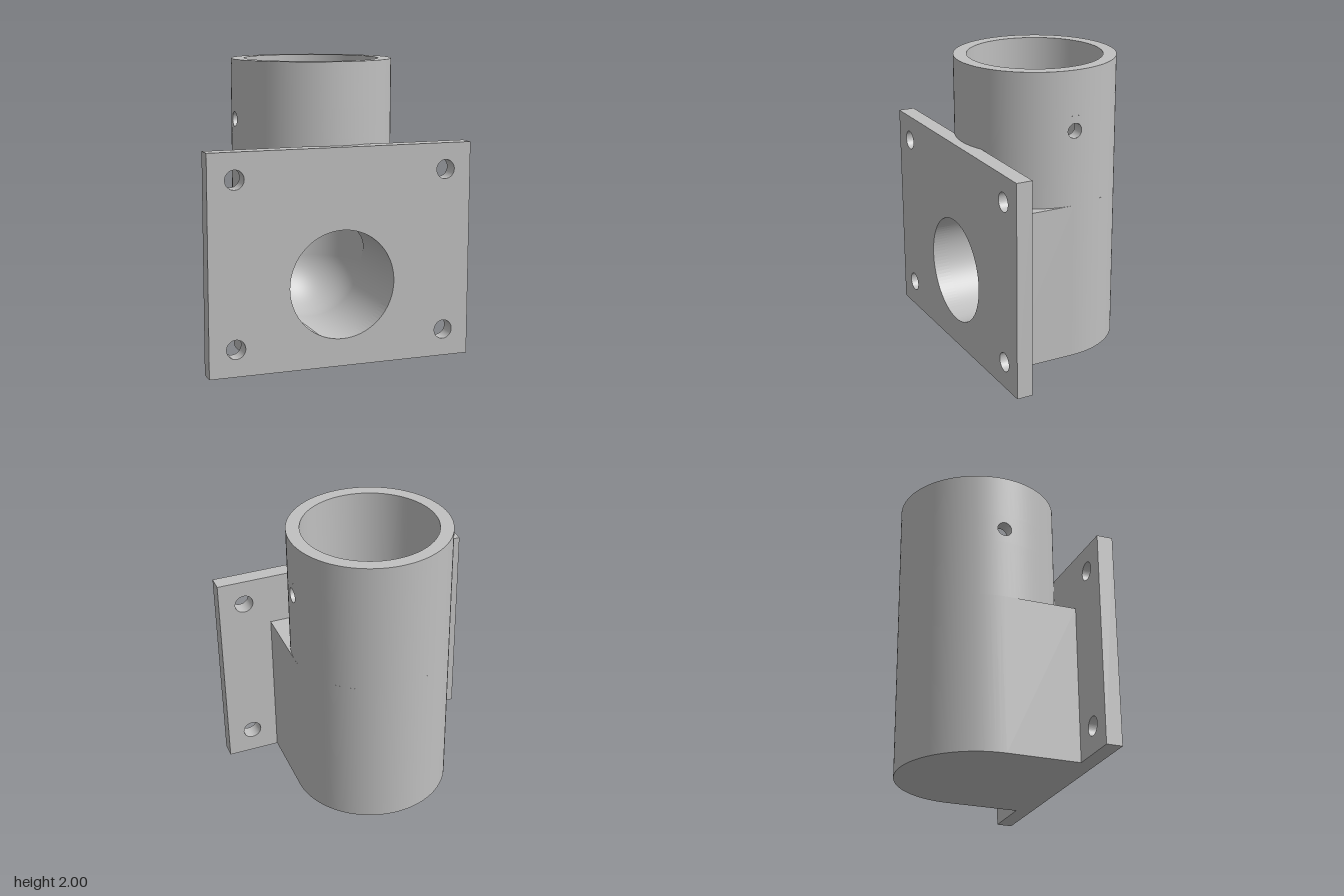
import * as THREE from 'three';
import { ParametricGeometry } from 'three/addons/geometries/ParametricGeometry.js';

const PI = Math.PI;
const OUTER = 0.545, SOCKET = 0.455, BORE = 0.364;   // radii
const TOP = 2, SHELF = 1.09, BORE_Y = 0.55;          // heights
const AXIS_Z = -0.035, DEPTH = 0.505;                // pipe axis, and its distance to the plate
const PIN_Y = 1.6, PIN_R = 0.05, PATCH_A = PI / 16, PATCH_H = 0.1;

// Surface from f(u, v) -> [x, y, z]; it faces along du x dv
const sheet = (f, nu, nv) => new ParametricGeometry((u, v, p) => p.set(...f(u, v)), nu, nv);

// Upright cylinder wall; swap t0 and t1 to face inward
const wall = (r, y0, y1, t0, t1) => sheet((u, v) => {
  const t = t0 + (t1 - t0) * u;
  return [r * Math.sin(t), y0 + (y1 - y0) * v, r * Math.cos(t)];
}, Math.max(8, Math.round(Math.abs(t1 - t0) / (2 * PI) * 96)), 1);

// Piece of cylinder wall around the pin hole on the +x side
const pinPatch = (r, inward) => sheet((u, v) => {
  const a = 2 * PI * (inward ? u : 1 - u);
  const c = Math.cos(a), s = Math.sin(a), k = 1 / Math.max(Math.abs(c), Math.abs(s));
  const t = PI / 2 + (1 - v) * Math.asin(PIN_R * c / r) + v * PATCH_A * k * c;
  return [r * Math.sin(t), PIN_Y + (1 - v) * PIN_R * s + v * PATCH_H * k * s, r * Math.cos(t)];
}, 48, 4);

// Inside of the pin hole on the +x side
const pinBore = () => sheet((u, v) => {
  const z = PIN_R * Math.cos(2 * PI * u), r = SOCKET + (OUTER - SOCKET) * v;
  return [Math.sqrt(r * r - z * z), PIN_Y + PIN_R * Math.sin(2 * PI * u), z];
}, 32, 1);

// Outline of the lower body: round at the back, square toward the plate
function bodyShape() {
  const s = new THREE.Shape();
  s.moveTo(-OUTER, -DEPTH);
  s.lineTo(OUTER, -DEPTH);
  s.lineTo(OUTER, 0);
  s.absarc(0, 0, OUTER, 0, PI, false);
  s.closePath();
  return s;
}

function addHole(shape, x, y, r) {
  const p = new THREE.Path();
  p.absarc(x, y, r, 0, 2 * PI, true);
  shape.holes.push(p);
}

export function createModel() {
  const model = new THREE.Group();
  model.name = 'pipeElbowBracket';
  const grey = new THREE.MeshStandardMaterial({ color: 0xc0c0c0 });
  grey.name = 'grey';

  const group = (name) => {
    const g = new THREE.Group();
    g.name = name;
    g.position.z = AXIS_Z;
    model.add(g);
    return g;
  };
  const add = (parent, name, geometry, x = 0, y = 0, z = 0) => {
    const m = new THREE.Mesh(geometry, grey);
    m.name = name;
    m.position.set(x, y, z);
    parent.add(m);
    return m;
  };

  // Mounting plate with four bolt holes and the outlet
  const plate = new THREE.Shape();
  plate.moveTo(-0.91, 0);
  plate.lineTo(0.91, 0);
  plate.lineTo(0.91, 1.457);
  plate.lineTo(-0.91, 1.457);
  plate.closePath();
  for (const x of [-0.73, 0.73]) for (const y of [0.182, 1.28]) addHole(plate, x, y, 0.064);
  addHole(plate, 0, BORE_Y, BORE);
  add(model, 'mountingPlate', new THREE.ExtrudeGeometry(plate,
    { depth: 0.11, bevelEnabled: false, curveSegments: 48 }), 0, 0, AXIS_Z + DEPTH);

  // Lower body
  const body = group('lowerBody');
  add(body, 'roundBack', wall(OUTER, 0, SHELF, PI / 2, 3 * PI / 2));
  for (const s of [-1, 1]) {
    add(body, 'bodySide', new THREE.PlaneGeometry(DEPTH, SHELF).rotateY(s * PI / 2),
      s * OUTER, SHELF / 2, DEPTH / 2);
  }
  add(body, 'bodyBase', new THREE.ShapeGeometry(bodyShape(), 48).rotateX(-PI / 2).rotateZ(PI));
  const shelf = bodyShape();
  addHole(shelf, 0, 0, BORE);
  add(body, 'shelf', new THREE.ShapeGeometry(shelf, 48).rotateX(-PI / 2), 0, SHELF, 0);

  // Upper socket, outside and inside, in bands around the pin holes
  const socket = group('socket');
  const y0 = PIN_Y - PATCH_H, y1 = PIN_Y + PATCH_H;
  for (const [r, inward] of [[OUTER, false], [SOCKET, true]]) {
    const band = (a, b, t0, t1) => add(socket, inward ? 'socketInside' : 'socketOutside',
      inward ? wall(r, a, b, t1, t0) : wall(r, a, b, t0, t1));
    band(SHELF, y0, 0, 2 * PI);
    band(y1, TOP, 0, 2 * PI);
    for (const mid of [0, PI]) band(y0, y1, mid - PI / 2 + PATCH_A, mid + PI / 2 - PATCH_A);
    for (const turn of [0, PI]) add(socket, 'pinHoleSurround', pinPatch(r, inward).rotateY(turn));
  }
  for (const turn of [0, PI]) add(socket, 'pinHole', pinBore().rotateY(turn));
  add(socket, 'socketRim', new THREE.RingGeometry(SOCKET, OUTER, 96).rotateX(-PI / 2), 0, TOP, 0);

  // Elbow passage: two mitred bores meeting at a round corner
  const elbow = group('elbowPassage');
  const bore = (length, t0, t1, place) => sheet((u, v) => {
    const t = t0 + (t1 - t0) * u, side = BORE * Math.cos(t), start = Math.max(0, side);
    return place(BORE * Math.sin(t), side, start + (length - start) * v);
  }, 96, 1);
  add(elbow, 'uprightBore', bore(SHELF - BORE_Y, 2 * PI, 0, (x, s, h) => [x, h, s]), 0, BORE_Y, 0);
  add(elbow, 'outletBore', bore(DEPTH, 0, 2 * PI, (x, s, h) => [x, s, h]), 0, BORE_Y, 0);
  add(elbow, 'roundCorner', sheet((u, v) => {
    const a = PI - 0.001 - (PI - 0.002) * u, b = v * PI / 2, r = BORE * Math.sin(a);
    return [BORE * Math.cos(a), -r * Math.cos(b), -r * Math.sin(b)];
  }, 48, 24), 0, BORE_Y, 0);

  return model;
}
